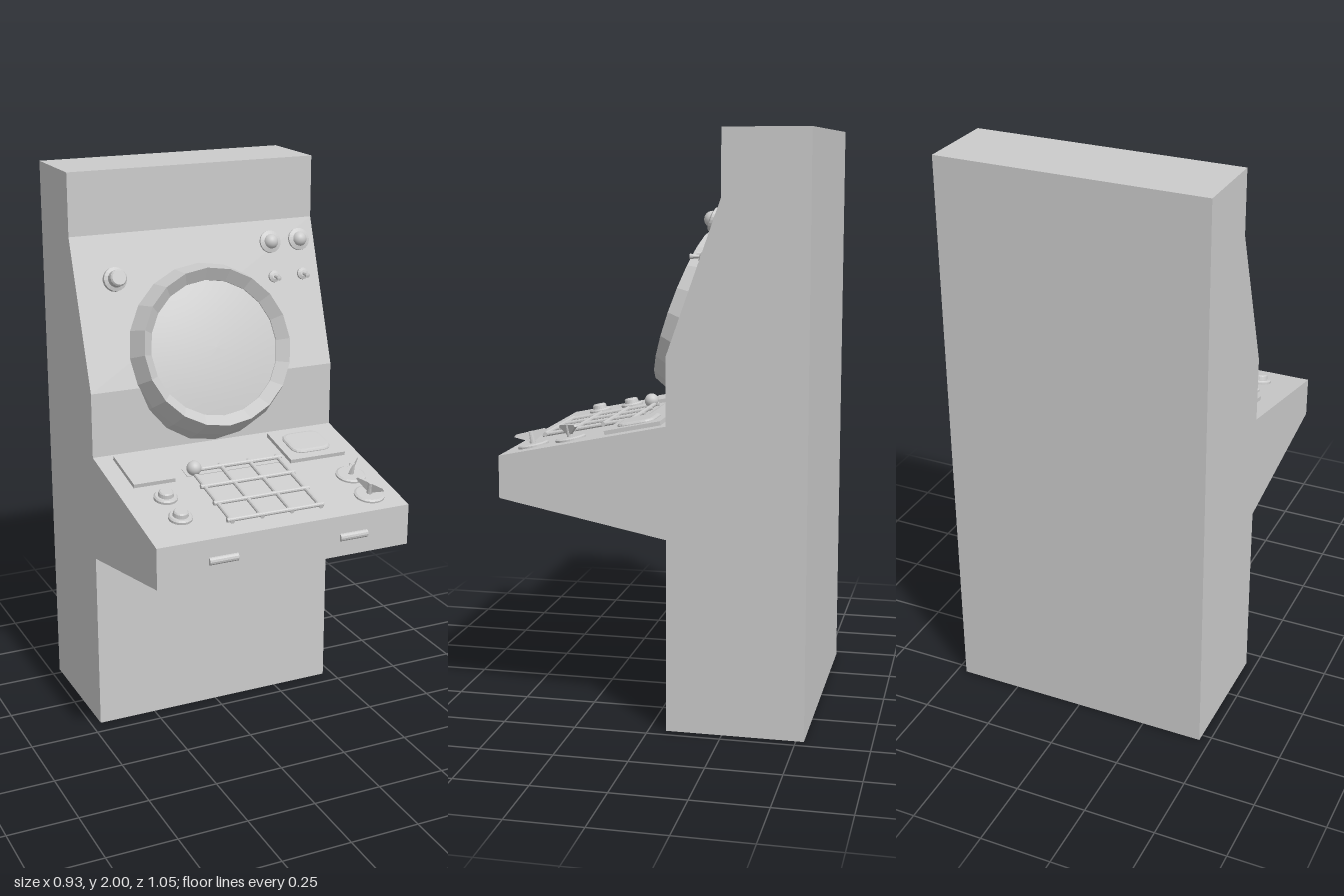
import * as THREE from 'three';

const flat = new THREE.MeshStandardMaterial({ color: 0xcccccc, flatShading: true, side: THREE.DoubleSide });
const smooth = new THREE.MeshStandardMaterial({ color: 0xcccccc, side: THREE.DoubleSide });

function add(parent, name, geometry, x = 0, y = 0, z = 0, material = flat) {
  const mesh = new THREE.Mesh(geometry, material);
  mesh.name = name;
  mesh.position.set(x, y, z);
  parent.add(mesh);
  return mesh;
}

const box = (w, h, d) => new THREE.BoxGeometry(w, h, d);

// profile of [radius, height] pairs, from base to tip
const lathe = (profile, sides = 24) =>
  new THREE.LatheGeometry(profile.map(([r, h]) => new THREE.Vector2(r, h)), sides);

// sloping surface: local y points out of it, local z runs down the slope
function slope(parent, name, angle, y, z) {
  const group = new THREE.Group();
  group.name = name;
  group.position.set(0, y, z);
  group.rotation.x = angle;
  parent.add(group);
  return group;
}

// side profile [z, y] swept across the width, open underneath
function cabinetGeometry() {
  const profile = [
    [-0.527, 0], [-0.06, 0], [-0.06, 0.66], [0.515, 0.775], [0.515, 0.92],
    [-0.06, 1.04], [-0.06, 1.27], [-0.24, 1.78], [-0.24, 2], [-0.527, 2],
  ];
  const shape = new THREE.Shape(profile.map(([z, y]) => new THREE.Vector2(z, y)));
  const geometry = new THREE.ExtrudeGeometry(shape, { depth: 0.93, bevelEnabled: false });
  geometry.rotateY(-Math.PI / 2).translate(0.465, 0, 0);
  const p = geometry.attributes.position;
  const kept = [];
  for (let i = 0; i < p.count; i += 3) {
    const onFloor = [0, 1, 2].every((k) => p.getY(i + k) < 1e-4);
    if (!onFloor) for (let k = 0; k < 3; k++) kept.push(p.getX(i + k), p.getY(i + k), p.getZ(i + k));
  }
  const open = new THREE.BufferGeometry();
  open.setAttribute('position', new THREE.Float32BufferAttribute(kept, 3));
  open.computeVertexNormals();
  return open;
}

function roundedRect(w, d, r) {
  const s = new THREE.Shape();
  const x = w / 2, y = d / 2;
  s.moveTo(-x + r, -y).lineTo(x - r, -y).quadraticCurveTo(x, -y, x, -y + r);
  s.lineTo(x, y - r).quadraticCurveTo(x, y, x - r, y);
  s.lineTo(-x + r, y).quadraticCurveTo(-x, y, -x, y - r);
  s.lineTo(-x, -y + r).quadraticCurveTo(-x, -y, -x + r, -y);
  return s;
}

// round screen, knobs and switches on the upright panel
function buildDisplay(root) {
  const tilt = Math.atan2(0.18, 0.51);
  const panel = slope(root, 'displayPanel', Math.PI / 2 - tilt, 1.27, -0.06);

  add(panel, 'screenBezel', lathe([[0.32, -0.07], [0.306, 0], [0.278, 0.075], [0.24, 0.04], [0.238, 0.02]], 20), 0, 0, -0.106);
  const dome = [];
  for (let i = 0; i <= 6; i++) {
    const r = 0.241 * (1 - i / 6);
    dome.push([r, 0.036 + 0.02 * (1 - (r / 0.241) ** 2)]);
  }
  add(panel, 'screen', lathe(dome, 32), 0, 0, -0.106, smooth);

  for (const x of [0.285, 0.4]) {
    add(panel, 'lampRim', lathe([[0.028, 0], [0.04, 0.006], [0.04, 0.014], [0.026, 0.02]]), x, 0, -0.461);
    add(panel, 'lamp', new THREE.SphereGeometry(0.027, 20, 8, 0, Math.PI * 2, 0, Math.PI / 2), x, 0.014, -0.461, smooth);
    add(panel, 'toggleBase', lathe([[0.021, 0], [0.021, 0.008], [0.011, 0.014], [0, 0.014]], 16), x, 0, -0.336);
    const lever = add(panel, 'toggleLever', lathe([[0.005, 0], [0.009, 0.036], [0, 0.038]], 10), x, 0.01, -0.336);
    lever.rotation.x = 0.35;
  }

  add(panel, 'buttonCollar', lathe([[0.042, 0], [0.042, 0.016], [0.03, 0.022]], 16), -0.323, 0, -0.382);
  add(panel, 'button', lathe([[0.03, 0.01], [0.03, 0.05], [0.025, 0.056], [0, 0.056]], 16), -0.323, 0, -0.382);
}

// sloping control desk
function buildDesk(root) {
  const angle = Math.atan2(0.12, 0.575);
  const desk = slope(root, 'controlDesk', angle, 1.04, -0.06);
  const down = (z) => (z + 0.06) / Math.cos(angle);

  // side plates, the one on the left with a small raised window
  add(desk, 'blankPlate', box(0.152, 0.016, 0.196), -0.325, 0.006, down(0.066));
  add(desk, 'windowPlate', box(0.216, 0.016, 0.196), 0.301, 0.006, down(0.066));
  const windowGeometry = new THREE.ExtrudeGeometry(roundedRect(0.13, 0.108, 0.03), {
    depth: 0.003, bevelThickness: 0.007, bevelSize: 0.012, bevelSegments: 2, curveSegments: 4,
  }).rotateX(-Math.PI / 2);
  add(desk, 'window', windowGeometry, 0.301, 0.014, down(0.066));

  // crossed bars of the key grid
  const barAcross = new THREE.CylinderGeometry(0.008, 0.008, 0.358, 10).rotateZ(Math.PI / 2);
  const barDown = new THREE.CylinderGeometry(0.008, 0.008, 0.352, 10).rotateX(Math.PI / 2);
  for (let i = 0; i < 4; i++) {
    add(desk, 'gridBarAcross', barAcross, -0.006, 0.009, down(0.123 + i * 0.106));
    add(desk, 'gridBarDown', barDown, -0.169 + i * 0.11, 0.007, down(0.28));
  }

  // ball handle in its slot
  add(desk, 'ballSlot', box(0.37, 0.003, 0.05), -0.012, 0.0005, down(0.12));
  add(desk, 'ballStem', new THREE.CylinderGeometry(0.006, 0.006, 0.03, 10), -0.169, 0.01, down(0.133));
  add(desk, 'ballHandle', new THREE.SphereGeometry(0.026, 20, 14), -0.169, 0.024, down(0.133), smooth);

  // pair of stepped push knobs
  for (const z of [0.25, 0.375]) {
    const knob = [[0.041, 0], [0.041, 0.008], [0.036, 0.013], [0.027, 0.013], [0.025, 0.026], [0.021, 0.03], [0, 0.03]];
    add(desk, 'pushKnob', lathe(knob), -0.322, 0, down(z));
  }

  // pair of dials with winged pointers
  const wing = new THREE.Shape([[-0.058, 0.043], [-0.05, 0.05], [0.05, 0.05], [0.058, 0.043], [0.012, 0.018], [-0.012, 0.018]]
    .map(([x, y]) => new THREE.Vector2(x, y)));
  const wingGeometry = new THREE.ExtrudeGeometry(wing, { depth: 0.01, bevelEnabled: false }).translate(0, 0, -0.005);
  for (const [z, turn] of [[0.293, Math.PI / 4], [0.425, -1.08]]) {
    add(desk, 'dial', lathe([[0.053, 0], [0.053, 0.006], [0.046, 0.01], [0, 0.01]]), 0.361, 0, down(z));
    add(desk, 'dialPin', new THREE.CylinderGeometry(0.009, 0.011, 0.045, 12), 0.361, 0.028, down(z));
    add(desk, 'dialPointer', wingGeometry, 0.361, 0, down(z)).rotation.y = turn;
  }
}

export function createModel() {
  const root = new THREE.Group();
  root.name = 'controlConsole';
  add(root, 'cabinet', cabinetGeometry());
  buildDisplay(root);
  buildDesk(root);

  // pulls on the front edge of the desk
  for (const x of [-0.23, 0.252]) {
    add(root, 'frontPull', new THREE.CylinderGeometry(0.014, 0.014, 0.104, 12).rotateZ(Math.PI / 2), x, 0.843, 0.513);
  }
  return root;
}
